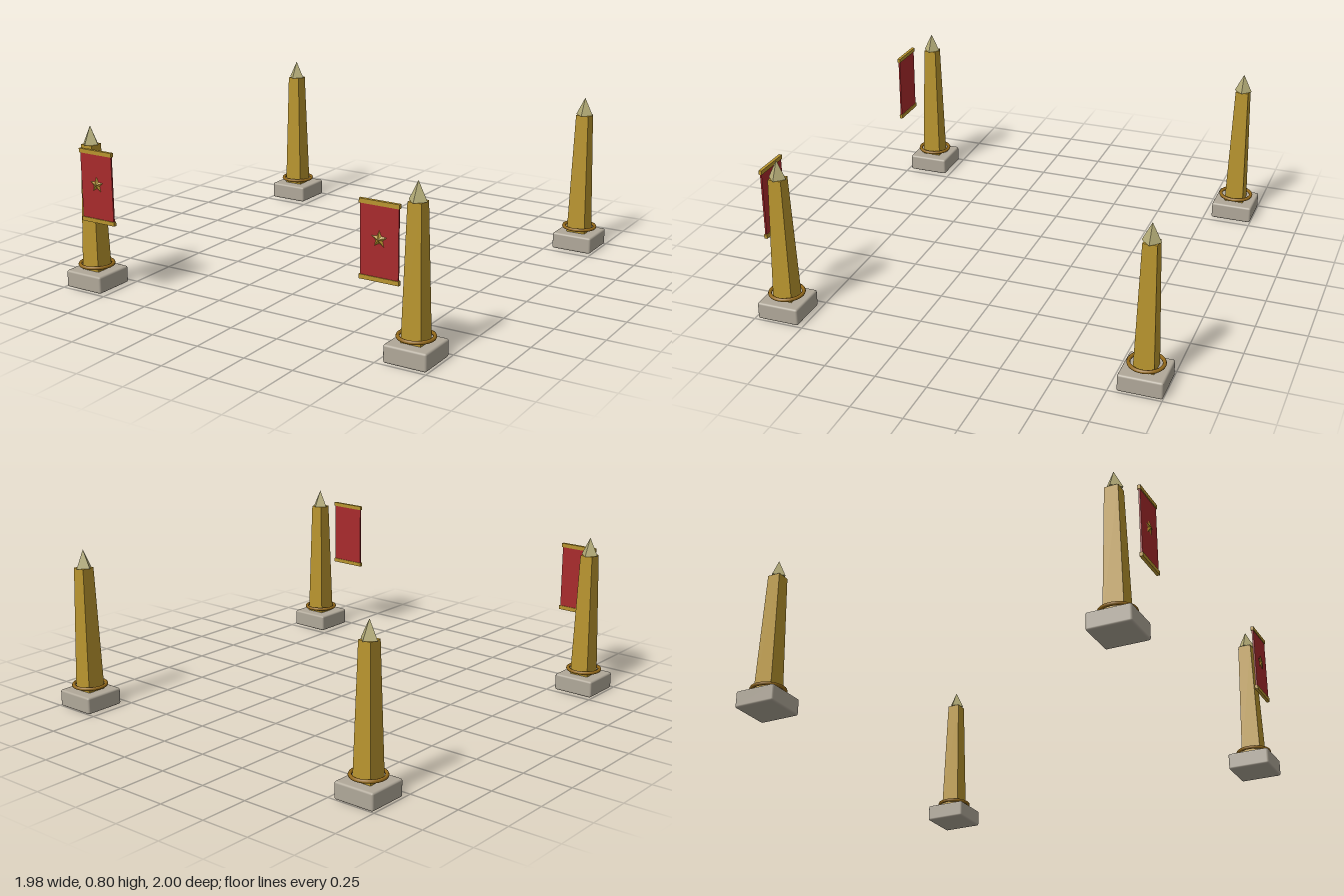
import * as THREE from 'three';
import { RoundedBoxGeometry } from 'three/addons/geometries/RoundedBoxGeometry.js';

const mat = (color, flatShading = false) => {
  const m = new THREE.MeshStandardMaterial({ flatShading });
  m.color.set(color);
  return m;
};

function part(parent, name, geometry, material, x = 0, y = 0, z = 0) {
  const mesh = new THREE.Mesh(geometry, material);
  mesh.name = name;
  mesh.position.set(x, y, z);
  parent.add(mesh);
  return mesh;
}

// Five-pointed star rising to a ridge, facing +z
function starGeometry(radius, depth) {
  const g = new THREE.ConeGeometry(radius, depth, 10).toNonIndexed();
  g.rotateX(Math.PI / 2);
  const p = g.attributes.position;
  for (let i = 0; i < p.count; i++) {
    const a = Math.atan2(p.getY(i), p.getX(i));
    if (Math.cos(5 * (a - Math.PI / 2)) < 0) {
      p.setXY(i, p.getX(i) * 0.45, p.getY(i) * 0.45);
    }
  }
  g.computeVertexNormals();
  return g;
}

export function createModel() {
  const model = new THREE.Group();
  model.name = 'obelisks';

  const stone = mat(0xb0a899);
  const gold = mat(0xb8942e, true);
  const bronze = mat(0x94691a);
  const pale = mat(0xb5ad78, true);
  const red = mat(0xa82a2c);

  const plinthGeo = new RoundedBoxGeometry(0.21, 0.085, 0.21, 2, 0.01);
  // Square shaft, sides parallel to the plinth
  const shaftGeo = new THREE.CylinderGeometry(0.033 * Math.SQRT2, 0.049 * Math.SQRT2, 0.63, 4);
  shaftGeo.rotateY(Math.PI / 4);
  // Pyramid cap, turned 45 degrees to the shaft
  const capGeo = new THREE.ConeGeometry(0.045, 0.09, 4);
  const ringGeo = new THREE.TorusGeometry(0.08, 0.009, 8, 32);
  ringGeo.rotateX(Math.PI / 2);

  // Four obelisks at the corners
  for (const z of [0.88, -0.895]) {
    for (const x of [-0.887, 0.887]) {
      const obelisk = new THREE.Group();
      obelisk.name = 'obelisk';
      obelisk.position.set(x, 0, z);
      part(obelisk, 'plinth', plinthGeo, stone, 0, 0.0425);
      part(obelisk, 'shaft', shaftGeo, gold, 0, 0.395);
      part(obelisk, 'cap', capGeo, pale, 0, 0.755);
      part(obelisk, 'ring', ringGeo, bronze, 0, 0.11);
      model.add(obelisk);
    }
  }

  // Banners beside the two front obelisks
  const clothGeo = new THREE.BoxGeometry(0.185, 0.34, 0.008);
  const barGeo = new THREE.BoxGeometry(0.194, 0.02, 0.016);
  const starGeo = starGeometry(0.042, 0.012);
  for (const side of [-1, 1]) {
    const banner = new THREE.Group();
    banner.name = 'banner';
    banner.position.set(side * 0.765, 0.541, 0.985);
    part(banner, 'cloth', clothGeo, red);
    part(banner, 'topBar', barGeo, gold, 0, 0.167);
    part(banner, 'bottomBar', barGeo, gold, 0, -0.167);
    part(banner, 'star', starGeo, gold, 0, 0.011, 0.009);
    model.add(banner);
  }
  return model;
}
